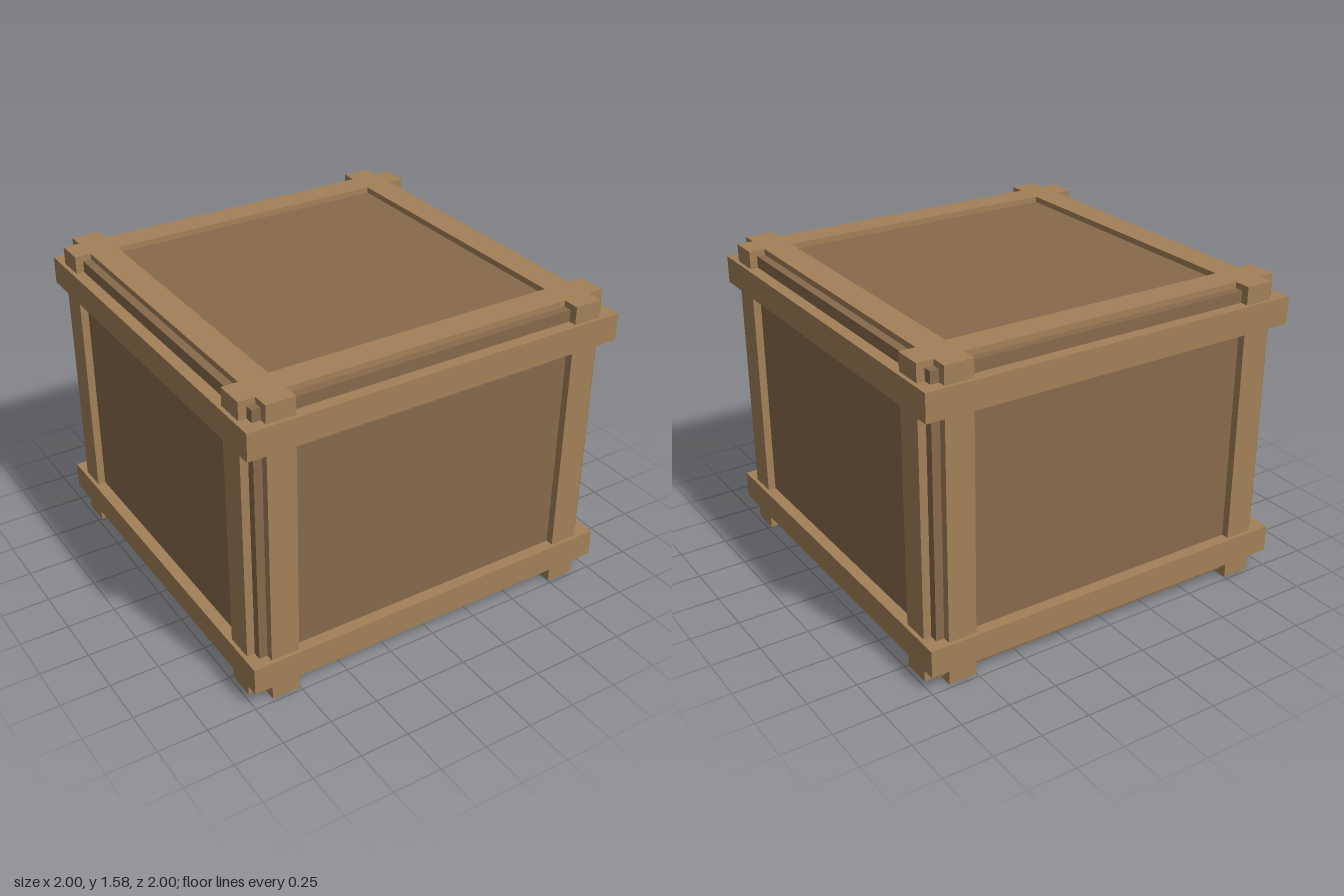
import * as THREE from 'three';

const W = 0.94, Y0 = 0.03, Y1 = 1.55; // inner body half width, bottom and top
const MID = (Y0 + Y1) / 2;

// Rectangular ring of timber, centred on the origin, lying in the XY plane
function ring(halfW, halfH, wall, depth) {
  const rect = (path, a, b) =>
    path.moveTo(-a, -b).lineTo(a, -b).lineTo(a, b).lineTo(-a, b).closePath();
  const shape = rect(new THREE.Shape(), halfW, halfH);
  shape.holes.push(rect(new THREE.Path(), halfW - wall, halfH - wall));
  return new THREE.ExtrudeGeometry(shape, { depth, bevelEnabled: false })
    .translate(0, 0, -depth / 2);
}

export function createModel() {
  const crate = new THREE.Group();
  crate.name = 'crate';
  const panelMat = new THREE.MeshStandardMaterial({ color: 0x876a4b, flatShading: true });
  const frameMat = new THREE.MeshStandardMaterial({ color: 0xa38058, flatShading: true });

  const add = (name, geometry, material, x, y, z) => {
    const mesh = new THREE.Mesh(geometry, material);
    mesh.name = name;
    mesh.position.set(x, y, z);
    crate.add(mesh);
  };

  // Recessed panels: one solid body
  add('panelBody', new THREE.BoxGeometry(2 * W, Y1 - Y0, 2 * W), panelMat, 0, MID, 0);

  // Upright rings: posts on the walls joined by bars over the lid and base
  const upright = ring(0.98, 0.79, 0.08, 0.145);
  const uprightSide = upright.clone().rotateY(Math.PI / 2);
  // Level bands wrapping the four walls
  const band = ring(1, 1, 0.1, 0.14).rotateX(Math.PI / 2);

  for (const s of [-1, 1]) {
    const end = s > 0 ? 'front' : 'back';
    const side = s > 0 ? 'left' : 'right';
    add(end + 'UprightFrame', upright, frameMat, 0, MID, s * 0.825);
    add(side + 'UprightFrame', uprightSide, frameMat, s * 0.825, MID, 0);
    add(s > 0 ? 'upperBand' : 'lowerBand', band, frameMat, 0, MID + s * 0.63, 0);
  }
  return crate;
}
